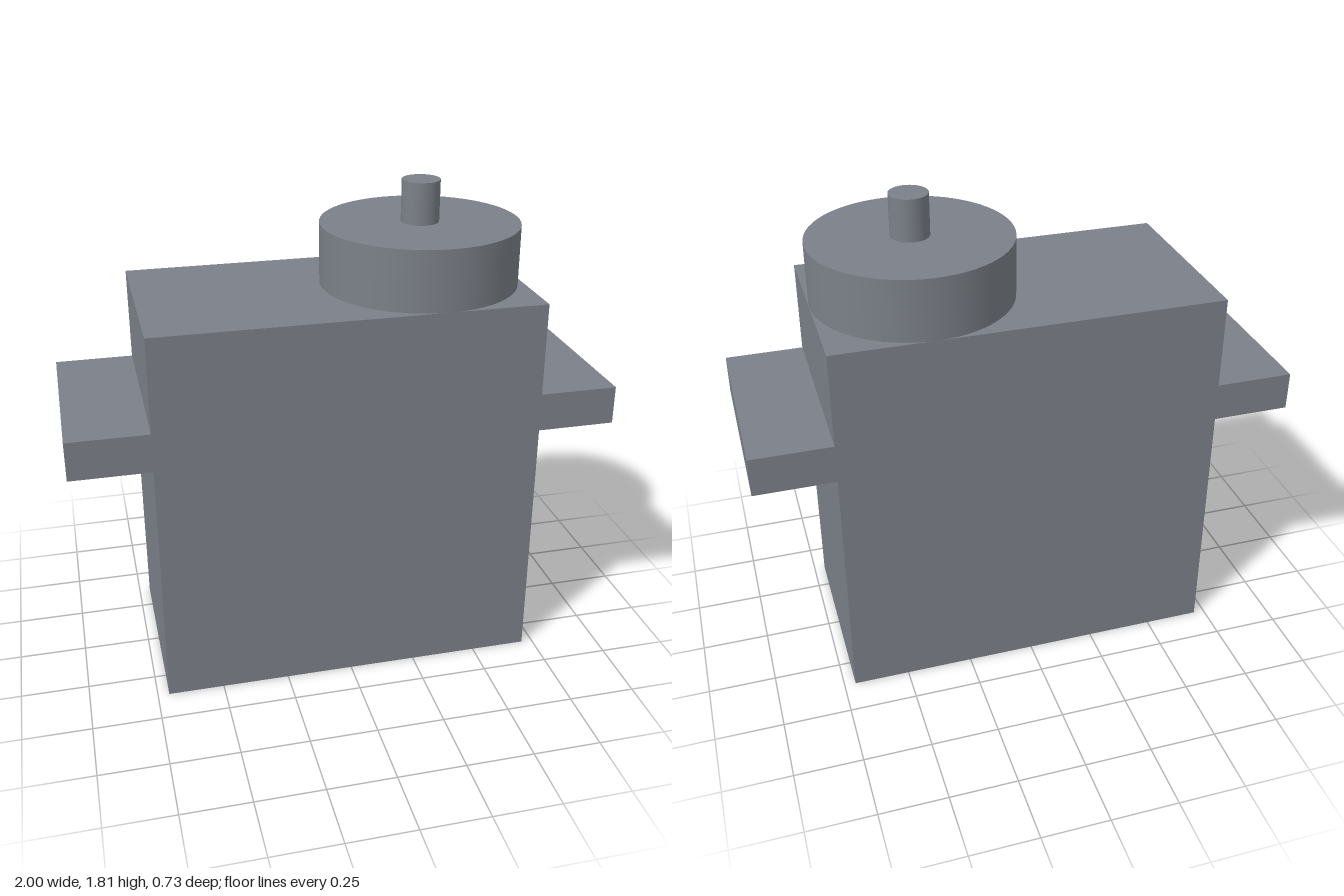
import * as THREE from 'three';

const material = new THREE.MeshStandardMaterial({ color: 0x7b8088 });

export function createModel() {
  const model = new THREE.Group();
  model.name = 'servoMotor';

  const add = (name, geometry, x, y) => {
    const mesh = new THREE.Mesh(geometry, material);
    mesh.name = name;
    mesh.position.set(x, y, 0);
    model.add(mesh);
  };

  const depth = 0.734, halfWidth = 0.708, bodyTop = 1.433;
  const axisX = 0.34, hubTop = 1.659, shaftTop = 1.813;

  // Upright case
  add('case', new THREE.BoxGeometry(2 * halfWidth, bodyTop, depth), 0, bodyTop / 2);

  // Mounting ears on both sides
  const earLength = 1 - halfWidth;
  for (const [name, side] of [['leftMountingEar', 1], ['rightMountingEar', -1]]) {
    add(name, new THREE.BoxGeometry(earLength, 0.144, depth), side * (halfWidth + earLength / 2), 1.014);
  }

  // Round gear housing and output shaft share one axis
  const addCylinder = (name, radius, bottom, top) =>
    add(name, new THREE.CylinderGeometry(radius, radius, top - bottom, 64), axisX, (bottom + top) / 2);
  addCylinder('gearHousing', depth / 2, bodyTop, hubTop);
  addCylinder('outputShaft', 0.07, hubTop, shaftTop);

  return model;
}
